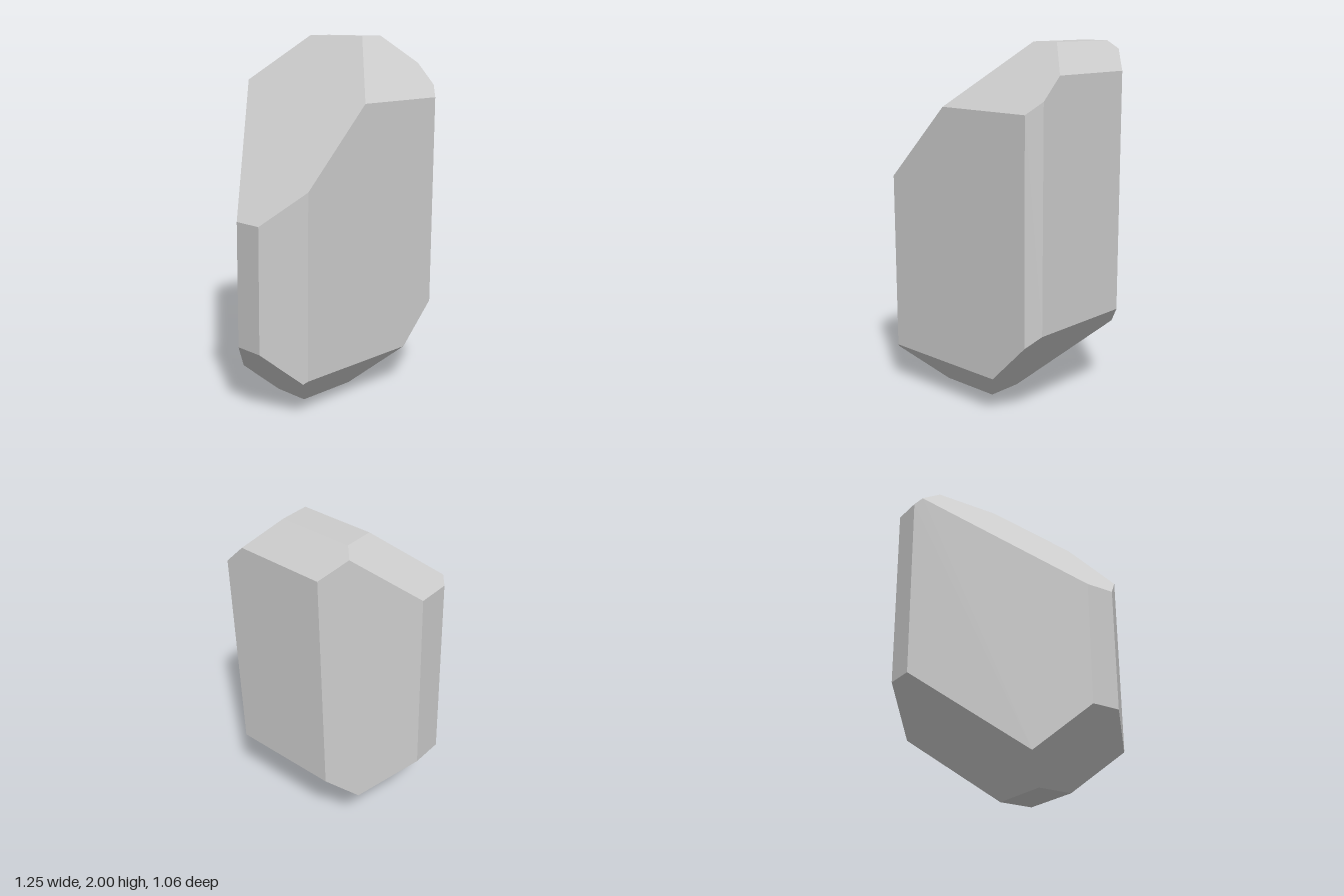
import * as THREE from 'three';

// Facets as outward direction and limit: x*nx + y*ny + z*nz <= limit
const facets = [
  [1, 0, 0, 0.625], [-1, 0, 0, 0.63], // sides
  [0, 1, 0, 2], [0, -1, 0, 0], // top, bottom
  [0, 0, 1, 0.53], [0, 0, -1, 0.53], // front, back
  [-1, 1, 0, 1.69], [1, 1, 0, 2.47], [1, -1, 0, 0.105], [-1, -1, 0, 0.26], // side slopes
  [0, 1, 1, 2.19], [0, 1, -1, 2.23], [0, -1, -1, -0.095], [0, -1, 1, 0.305], // front and back slopes
  [-1, 0, -1, 0.45], [1, 0, -1, 0.79], [1, 0, 1, 1.09], [-1, 0, 1, 0.98], // upright corner cuts
].map(([x, y, z, limit]) => {
  const n = new THREE.Vector3(x, y, z);
  return new THREE.Plane(n, -limit).normalize();
});

// Keeps the part of a polygon behind a plane
function clip(points, plane) {
  const kept = [];
  points.forEach((a, i) => {
    const b = points[(i + 1) % points.length];
    const da = plane.distanceToPoint(a);
    const db = plane.distanceToPoint(b);
    if (da <= 0) kept.push(a);
    if ((da < 0 && db > 0) || (da > 0 && db < 0)) kept.push(a.clone().lerp(b, da / (da - db)));
  });
  return kept;
}

// A large square on the plane, counter-clockwise seen from outside
function square(plane) {
  const n = plane.normal;
  const u = new THREE.Vector3(n.y, n.z, n.x).cross(n).normalize();
  const v = n.clone().cross(u);
  const centre = plane.coplanarPoint(new THREE.Vector3());
  return [[-5, -5], [5, -5], [5, 5], [-5, 5]].map(([s, t]) =>
    centre.clone().addScaledVector(u, s).addScaledVector(v, t));
}

export function createModel() {
  const positions = [];
  const normals = [];
  for (const plane of facets) {
    let face = square(plane);
    for (const other of facets) if (other !== plane) face = clip(face, other);
    for (let i = 1; i < face.length - 1; i++) {
      for (const p of [face[0], face[i], face[i + 1]]) {
        positions.push(p.x, p.y, p.z);
        normals.push(plane.normal.x, plane.normal.y, plane.normal.z);
      }
    }
  }

  const geometry = new THREE.BufferGeometry();
  geometry.setAttribute('position', new THREE.Float32BufferAttribute(positions, 3));
  geometry.setAttribute('normal', new THREE.Float32BufferAttribute(normals, 3));
  const stone = new THREE.Mesh(geometry, new THREE.MeshStandardMaterial({ color: 0xcccccc, flatShading: true }));
  stone.name = 'facetedStone';

  const group = new THREE.Group();
  group.name = 'cutStone';
  group.add(stone);
  return group;
}
